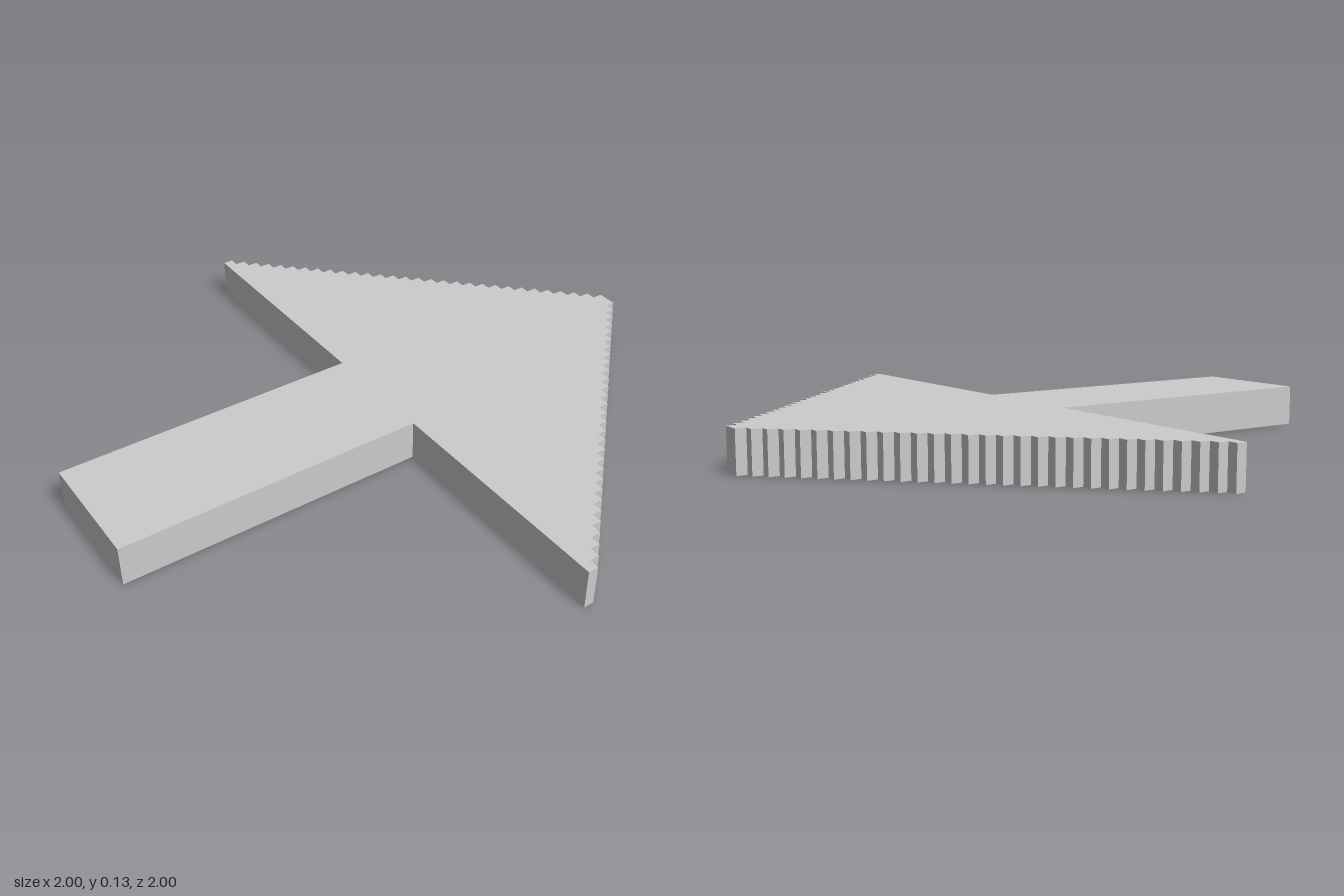
import * as THREE from 'three';

const STEPS = 30;          // stair steps along each slanted edge of the head
const STEP = 1 / STEPS;
const THICKNESS = 4 * STEP;
const SHAFT_HALF = 0.2;

export function createModel() {
  const group = new THREE.Group();
  group.name = 'arrow';

  // One half of the outline, from the shaft's tail to the stepped tip
  const half = [[-1, SHAFT_HALF], [0, SHAFT_HALF]];
  for (let i = 0; i < STEPS; i++) {
    const w = (STEPS - i) * STEP;
    half.push([i * STEP, w], [(i + 1) * STEP, w]);
  }

  // Mirror it to close the outline
  const mirrored = half.map(([x, w]) => [x, -w]).reverse();
  const outline = [...half, ...mirrored].map(([x, w]) => new THREE.Vector2(x, w));

  // Extrude into a flat slab lying on the ground
  const geometry = new THREE.ExtrudeGeometry(new THREE.Shape(outline), {
    depth: THICKNESS,
    bevelEnabled: false,
  });
  geometry.rotateX(-Math.PI / 2);

  const slab = new THREE.Mesh(
    geometry,
    new THREE.MeshStandardMaterial({ color: 0xcccccc, flatShading: true })
  );
  slab.name = 'arrowSlab';
  group.add(slab);
  return group;
}
